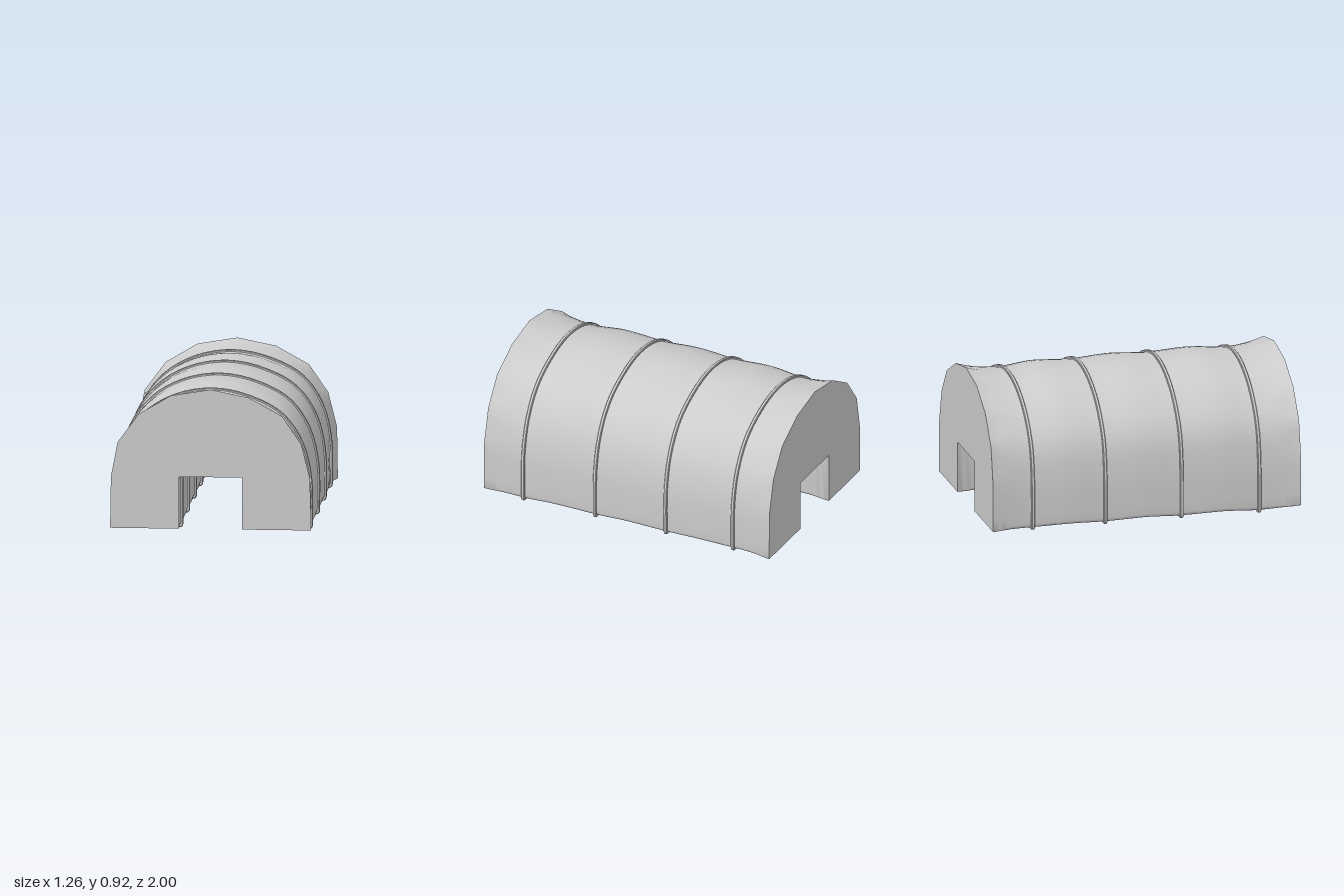
import * as THREE from 'three';
import { toCreasedNormals } from 'three/addons/utils/BufferGeometryUtils.js';

// Key stations: z, half width, top, bottom, slot roof, slot half width
const STATIONS = [
  [-1.0, 0.63, 0.92, 0.037, 0.365, 0.197],
  [-0.735, 0.607, 0.876, 0.033, 0.352, 0.206],
  [-0.5, 0.614, 0.898, 0.037, 0.358, 0.2],
  [-0.265, 0.609, 0.887, 0.03, 0.352, 0.206],
  [-0.01, 0.614, 0.9, 0.036, 0.358, 0.2],
  [0.23, 0.609, 0.887, 0.025, 0.35, 0.206],
  [0.49, 0.614, 0.897, 0.029, 0.355, 0.2],
  [0.735, 0.607, 0.876, 0.015, 0.347, 0.206],
  [1.0, 0.63, 0.92, 0.036, 0.365, 0.197],
];
const RIBS = [-0.735, -0.265, 0.23, 0.735];

// Arch outline from right foot to left foot, as fractions of half width and height
const ARCH = [[1, 0], [0.992, 0.367], [0.905, 0.616], [0.712, 0.816], [0.385, 0.945], [0, 1],
  [-0.395, 0.953], [-0.715, 0.818], [-0.925, 0.616], [-0.992, 0.367], [-1, 0]]
  .map(([x, y]) => new THREE.Vector3(x, y, 0));
const SMOOTH_ARCH = new THREE.CatmullRomCurve3(ARCH);
const STEPS = 4;

// Values between stations: eased along the body, flared at both open ends
function valuesAt(z) {
  const last = STATIONS.length - 2;
  let i = 0;
  while (i < last && z > STATIONS[i + 1][0]) i++;
  const a = STATIONS[i], b = STATIONS[i + 1];
  const t = (z - a[0]) / (b[0] - a[0]);
  const f = i === 0 ? 1 - (1 - t) ** 2 : i === last ? t * t : t * t * (3 - 2 * t);
  return a.map((v, k) => v + (b[k] - v) * f);
}

// Closed cross-section, anticlockwise seen from +z, grown outward by `grow`
function section(z, grow = 0) {
  const v = valuesAt(z);
  const w = v[1] + grow, top = v[2] + grow, bottom = v[3] - grow;
  const roof = v[4] - grow, slot = v[5] - grow;
  const flat = THREE.MathUtils.smoothstep(Math.abs(z), 0.85, 1); // faceted towards the ends
  const r = THREE.MathUtils.lerp(0.025, 0.001, flat);
  const pts = [];
  const corner = (x, y, from, to) => {
    for (let i = 0; i <= 4; i++) {
      const t = i / 4, p = r * (1 - t) ** 2, q = r * t * t;
      pts.push(new THREE.Vector2(x + from[0] * p + to[0] * q, y + from[1] * p + to[1] * q));
    }
  };
  corner(w, bottom, [-1, 0], [0, 1]);
  const segments = ARCH.length - 1;
  for (let i = 1; i < segments * STEPS; i++) {
    const s = i / STEPS, k = Math.floor(s);
    const p = SMOOTH_ARCH.getPoint(s / segments);
    p.lerp(ARCH[k].clone().lerp(ARCH[k + 1], s - k), flat);
    pts.push(new THREE.Vector2(p.x * w, bottom + p.y * (top - bottom)));
  }
  corner(-w, bottom, [0, 1], [1, 0]);
  corner(-slot, bottom, [-1, 0], [0, 1]);
  corner(-slot, roof, [0, -1], [1, 0]);
  corner(slot, roof, [-1, 0], [0, -1]);
  corner(slot, bottom, [0, 1], [1, 0]);
  return pts;
}

// Skin through rings of [z, points], ordered from back to front
function loft(rings) {
  const n = rings[0][1].length, positions = [], index = [];
  rings.forEach(([z, pts]) => pts.forEach((p) => positions.push(p.x, p.y, z)));
  for (let j = 0; j < rings.length - 1; j++) {
    for (let i = 0; i < n; i++) {
      const a = j * n + i, b = j * n + (i + 1) % n;
      index.push(a, b, b + n, a, b + n, a + n);
    }
  }
  const geometry = new THREE.BufferGeometry();
  geometry.setAttribute('position', new THREE.Float32BufferAttribute(positions, 3));
  geometry.setIndex(index);
  return toCreasedNormals(geometry, Math.PI / 5);
}

export function createModel() {
  const model = new THREE.Group();
  model.name = 'ribbedArch';
  const material = new THREE.MeshStandardMaterial({ color: 0xcccccc });
  const add = (name, geometry) => {
    const mesh = new THREE.Mesh(geometry, material);
    mesh.name = name;
    model.add(mesh);
    return mesh;
  };

  // Softly bulging body
  const rings = [];
  for (let i = 0; i <= 80; i++) {
    const z = -1 + i / 40;
    rings.push([z, section(z)]);
  }
  add('body', loft(rings));

  // Flat end faces
  const front = add('frontFace', new THREE.ShapeGeometry(new THREE.Shape(section(1))));
  front.position.z = 1;
  const backShape = new THREE.Shape(section(-1).map((p) => new THREE.Vector2(-p.x, p.y)).reverse());
  const back = add('backFace', new THREE.ShapeGeometry(backShape));
  back.rotation.y = Math.PI;
  back.position.z = -1;

  // Thin raised bands around the whole section
  RIBS.forEach((z, i) => {
    const band = [[-0.011, -0.015], [-0.011, 0.009], [-0.007, 0.013],
      [0.007, 0.013], [0.011, 0.009], [0.011, -0.015]];
    add('rib' + (i + 1), loft(band.map(([dz, grow]) => [z + dz, section(z, grow)])));
  });

  return model;
}
